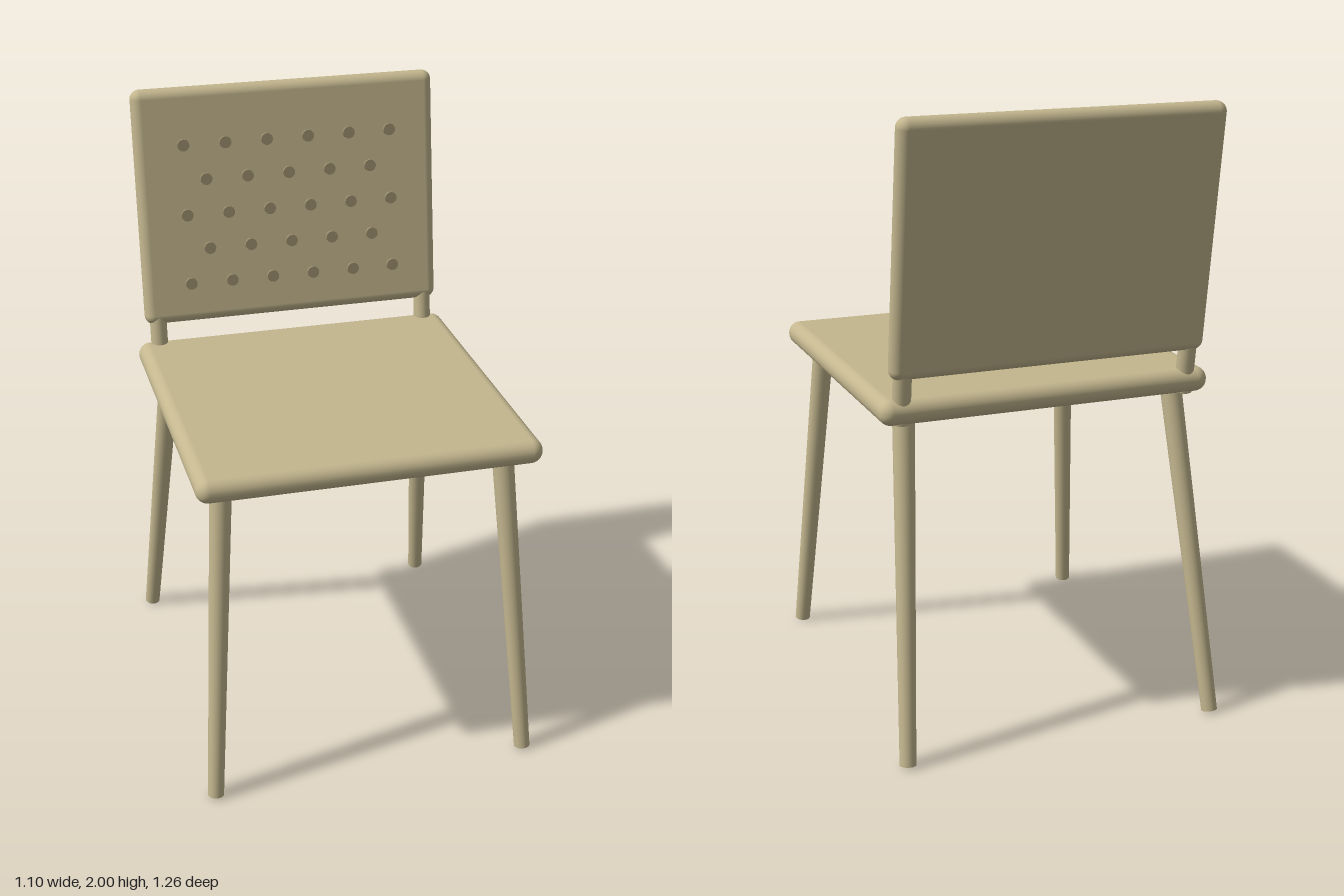
import * as THREE from 'three';
import { RoundedBoxGeometry } from 'three/addons/geometries/RoundedBoxGeometry.js';

const wood = new THREE.MeshStandardMaterial({ color: 0xc4b78f });
const darkWood = new THREE.MeshStandardMaterial({ color: 0x998c6c });

function addMesh(parent, name, geometry, material, x, y, z) {
  const mesh = new THREE.Mesh(geometry, material);
  mesh.name = name;
  mesh.position.set(x, y, z);
  parent.add(mesh);
  return mesh;
}

// Round rod from one point to another, with a radius at each end
function addRod(parent, name, from, to, r0, r1) {
  const axis = to.clone().sub(from);
  const mid = from.clone().add(to).multiplyScalar(0.5);
  const rod = addMesh(parent, name, new THREE.CylinderGeometry(r1, r0, axis.length(), 24), wood, mid.x, mid.y, mid.z);
  rod.quaternion.setFromUnitVectors(new THREE.Vector3(0, 1, 0), axis.normalize());
}

export function createModel() {
  const chair = new THREE.Group();
  chair.name = 'chair';

  // Seat slab with fully rounded edges
  addMesh(chair, 'seat', new RoundedBoxGeometry(1.096, 0.08, 1.09, 6, 0.039), wood, 0, 1.1, 0.06);

  // Splayed legs, narrower at the floor
  for (const [side, s] of [['left', 1], ['right', -1]]) {
    for (const [end, zFoot, zTop] of [['Front', 0.609, 0.473], ['Back', -0.604, -0.394]]) {
      addRod(chair, side + end + 'Leg',
        new THREE.Vector3(s * 0.523, 0.006, zFoot),
        new THREE.Vector3(s * 0.451, 1.085, zTop), 0.026, 0.035);
    }
  }

  // Reclined backrest, with its posts and studs in the same tilted frame
  const back = new THREE.Group();
  back.name = 'back';
  back.position.set(0, 1.603, -0.519);
  back.rotation.x = -0.141;
  chair.add(back);
  addMesh(back, 'backrest', new RoundedBoxGeometry(1.04, 0.802, 0.066, 6, 0.032), wood, 0, 0, 0);

  // Short posts joining backrest and seat
  for (const [side, s] of [['left', 1], ['right', -1]]) {
    addMesh(back, side + 'Post', new THREE.CylinderGeometry(0.029, 0.029, 0.19, 24), wood, s * 0.475, -0.452, 0.003);
  }

  // Staggered rows of small round studs on the front face
  const stud = new THREE.CylinderGeometry(0.02, 0.02, 0.013, 20).rotateX(Math.PI / 2);
  for (let row = 0; row < 5; row++) {
    const count = row % 2 ? 5 : 6;
    for (let i = 0; i < count; i++) {
      addMesh(back, 'stud', stud, darkWood, (i - (count - 1) / 2) * 0.143, 0.213 - row * 0.1187, 0.043);
    }
  }
  return chair;
}
